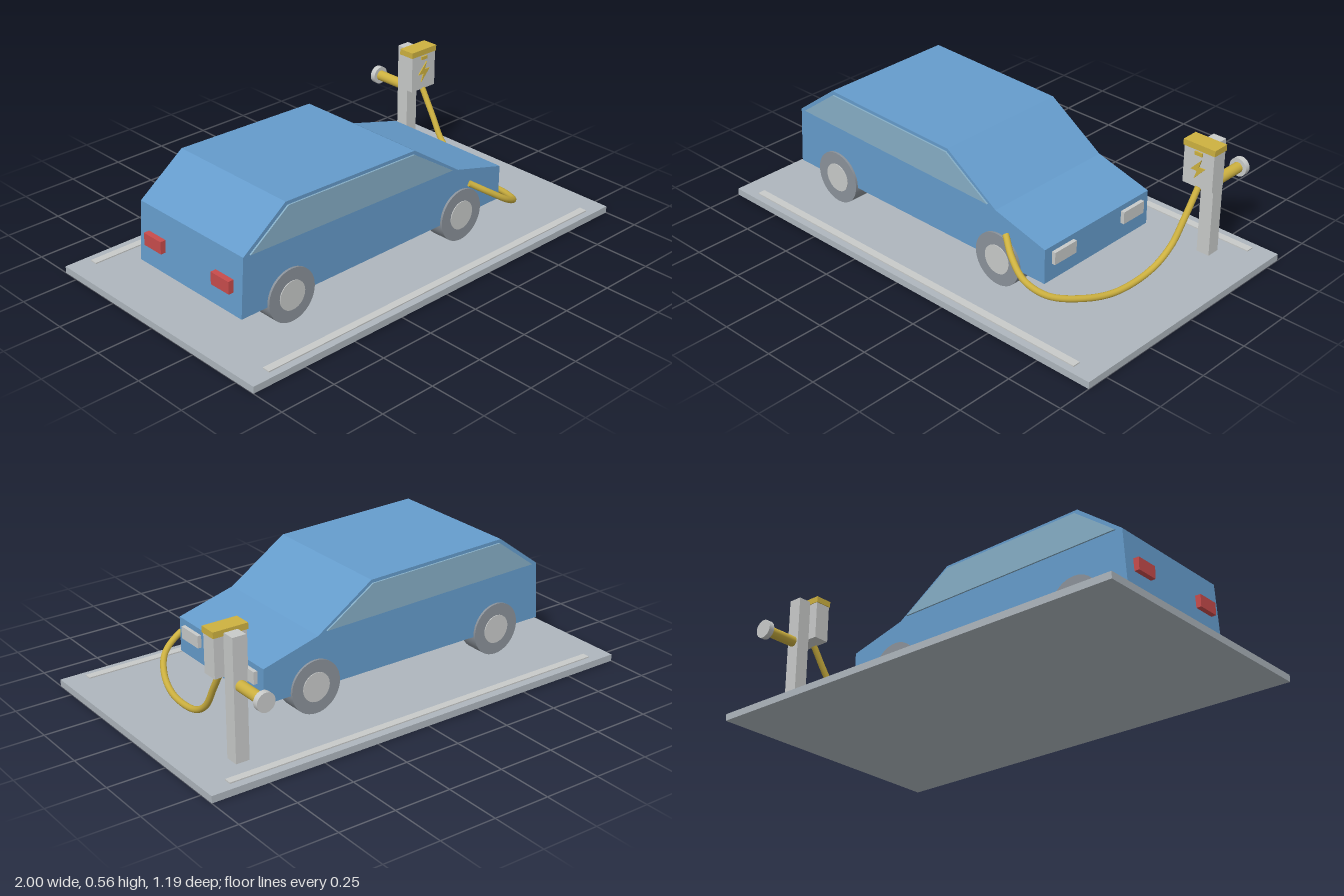
import * as THREE from 'three';

const mat = (name, color) => {
  const m = new THREE.MeshStandardMaterial({ color });
  m.name = name;
  return m;
};

export function createModel() {
  const blue = mat('bodyBlue', 0x659ccc);
  const glass = mat('windowGlass', 0x86aec6);
  const tyreGrey = mat('tyreGrey', 0x8b929a);
  const lightGrey = mat('lightGrey', 0xc8cac9);
  const padGrey = mat('padGrey', 0xaeb6bd);
  const yellow = mat('cableYellow', 0xcdb140);
  const red = mat('tailRed', 0xc84c4c);
  const root = new THREE.Group();
  root.name = 'chargingCar';

  const add = (name, geometry, material, parent = root) => {
    const mesh = new THREE.Mesh(geometry, material);
    mesh.name = name;
    parent.add(mesh);
    return mesh;
  };
  // Box given by its limits on each axis
  const box = (name, material, [x0, x1], [y0, y1], [z0, z1], parent) => {
    const mesh = add(name, new THREE.BoxGeometry(x1 - x0, y1 - y0, z1 - z0), material, parent);
    mesh.position.set((x0 + x1) / 2, (y0 + y1) / 2, (z0 + z1) / 2);
  };
  // Outline in x and y, extruded from z0 to z1
  const slab = (name, material, points, z0, z1, parent) => {
    const shape = new THREE.Shape(points.map(([x, y]) => new THREE.Vector2(x, y)));
    const geometry = new THREE.ExtrudeGeometry(shape, { depth: z1 - z0, bevelEnabled: false });
    geometry.translate(0, 0, z0);
    add(name, geometry, material, parent);
  };
  // Cylinder lying along z
  const rod = (name, material, radius, x, y, z0, z1, parent) => {
    const geometry = new THREE.CylinderGeometry(radius, radius, z1 - z0, 40);
    geometry.rotateX(Math.PI / 2);
    add(name, geometry, material, parent).position.set(x, y, (z0 + z1) / 2);
  };

  // Parking pad with side lines
  box('parkingPad', padGrey, [-1, 1], [0, 0.03], [-0.573, 0.597]);
  for (const z of [0.549, -0.521]) {
    box('parkingLine', lightGrey, [-0.9, 0.9], [0.03, 0.035], [z - 0.017, z + 0.017]);
  }

  // Car body
  const car = new THREE.Group();
  car.name = 'car';
  root.add(car);
  const zRight = -0.261, zLeft = 0.354;
  slab('carBody', blue, [
    [-0.847, 0.134], [0.564, 0.134], [0.564, 0.286], [0.307, 0.356],
    [0.05, 0.528], [-0.622, 0.545], [-0.83, 0.39],
  ], zRight, zLeft, car);

  // Side windows
  const pane = [[-0.8, 0.392], [0.268, 0.369], [0.045, 0.514], [-0.613, 0.53]];
  slab('sideWindow', glass, pane, zLeft, zLeft + 0.007, car);
  slab('sideWindow', glass, pane, zRight - 0.007, zRight, car);

  // Wheels
  for (const x of [-0.606, 0.325]) {
    for (const [z0, z1] of [[0.275, 0.364], [-0.271, -0.182]]) {
      rod('tyre', tyreGrey, 0.115, x, 0.145, z0, z1, car);
      const outer = z0 > 0 ? z1 : z0;
      rod('hub', lightGrey, 0.063, x, 0.145, outer - 0.003, outer + 0.003, car);
    }
  }

  // Lamps
  for (const side of [-1, 1]) {
    const z = 0.0475 + side * 0.204;
    box('headlight', lightGrey, [0.56, 0.581], [0.208, 0.262], [z - 0.062, z + 0.062], car);
    box('tailLight', red, [-0.863, -0.835], [0.226, 0.28], [z - 0.052, z + 0.052], car);
  }

  // Charging post and box
  const charger = new THREE.Group();
  charger.name = 'charger';
  root.add(charger);
  const cx = 0.774;
  box('post', lightGrey, [cx - 0.03, cx + 0.03], [0.03, 0.545], [-0.43, -0.37], charger);
  box('chargerBox', lightGrey, [cx - 0.072, cx + 0.072], [0.368, 0.534], [-0.37, -0.3], charger);
  box('chargerCap', yellow, [cx - 0.076, cx + 0.076], [0.532, 0.558], [-0.373, -0.297], charger);
  box('statusLight', yellow, [cx - 0.018, cx + 0.018], [0.511, 0.526], [-0.3, -0.293], charger);
  const bolt = [[0.016, 0.046], [-0.034, -0.008], [-0.004, -0.008], [-0.016, -0.046],
    [0.035, 0.011], [0.005, 0.011]];
  slab('boltSign', yellow, bolt.map(([x, y]) => [cx + x, 0.45 + y]), -0.3, -0.295, charger);

  // Holder on the back of the post
  rod('holderArm', yellow, 0.023, cx, 0.346, -0.572, -0.43, charger);
  rod('holderDisc', lightGrey, 0.04, cx, 0.346, -0.597, -0.572, charger);

  // Cable hanging from the box to the car
  const path = new THREE.CatmullRomCurve3([
    [0.37, 0.275, 0.362], [0.445, 0.225, 0.408], [0.53, 0.17, 0.43], [0.615, 0.125, 0.395],
    [0.69, 0.09, 0.28], [0.735, 0.068, 0.13], [0.755, 0.09, -0.06], [0.765, 0.155, -0.165],
    [0.772, 0.26, -0.237], [0.776, 0.368, -0.306],
  ].map((p) => new THREE.Vector3(...p)));
  add('cable', new THREE.TubeGeometry(path, 80, 0.0135, 14), yellow);
  // Closed cable ends
  for (const t of [0, 1]) {
    const end = add('cableEnd', new THREE.CircleGeometry(0.0135, 14), yellow);
    const tangent = path.getTangentAt(t).multiplyScalar(t ? 1 : -1);
    end.position.copy(path.getPointAt(t));
    end.quaternion.setFromUnitVectors(new THREE.Vector3(0, 0, 1), tangent);
  }
  return root;
}
